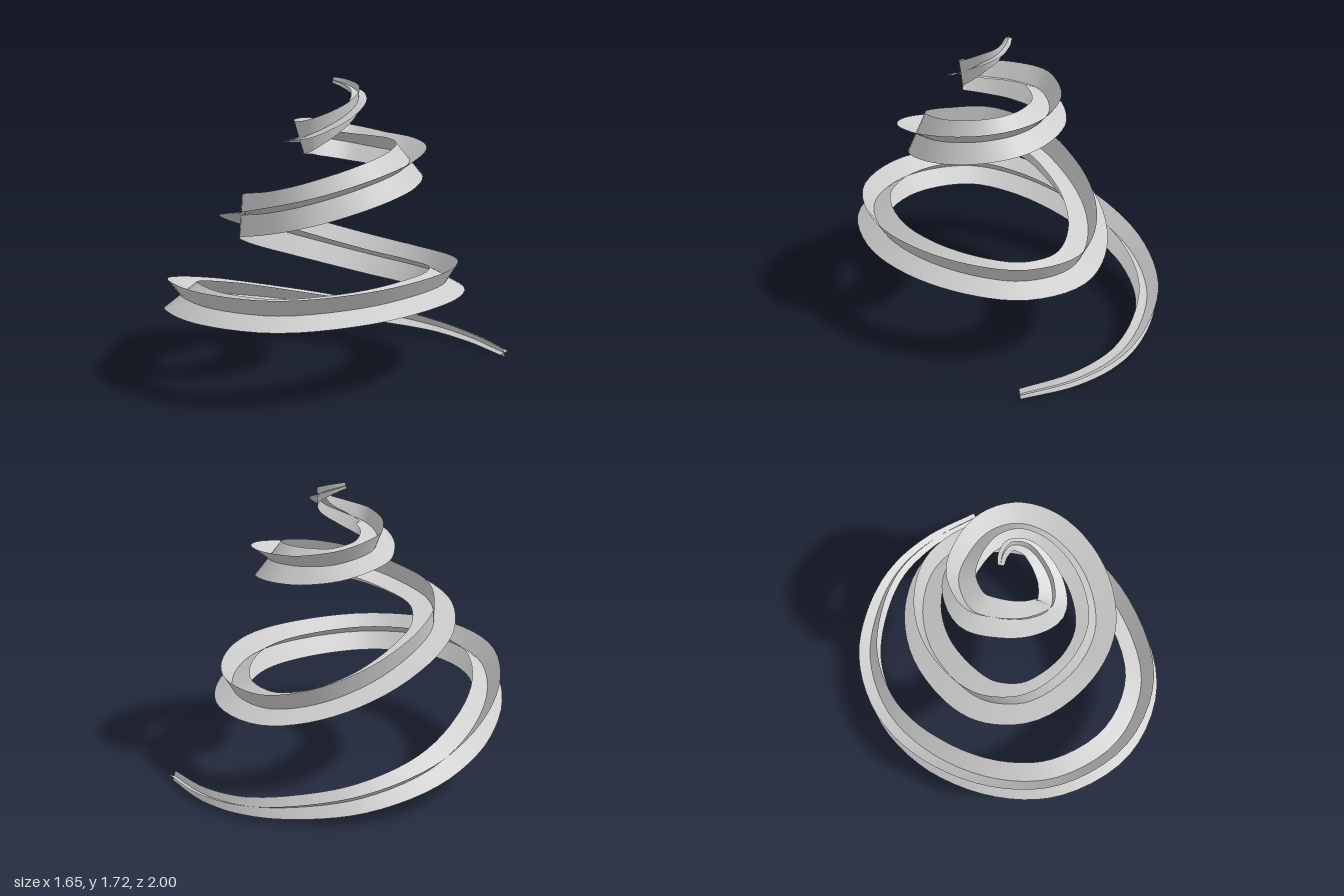
import * as THREE from 'three';

// Centreline of the spiral, from the low outer end up to the top tip
const PATH = [
  [0.805, 0.033, -0.76], [0.5, 0.038, -0.905], [0.2, 0.057, -0.957], [-0.1, 0.09, -0.9],
  [-0.42, 0.143, -0.73], [-0.665, 0.225, -0.4], [-0.745, 0.325, 0], [-0.675, 0.43, 0.42],
  [-0.48, 0.5, 0.72], [-0.1, 0.522, 0.895], [0.3, 0.525, 0.81], [0.6, 0.54, 0.45],
  [0.715, 0.555, 0.05], [0.66, 0.543, -0.3], [0.5, 0.525, -0.54], [0.22, 0.523, -0.642],
  [-0.05, 0.57, -0.555], [-0.28, 0.665, -0.33], [-0.41, 0.79, 0], [-0.41, 0.865, 0.2],
  [-0.29, 0.94, 0.4], [0, 1.007, 0.513], [0.25, 1.075, 0.475], [0.45, 1.155, 0.27],
  [0.525, 1.22, 0], [0.47, 1.26, -0.2], [0.33, 1.278, -0.31], [0.15, 1.288, -0.33],
  [-0.03, 1.312, -0.28], [-0.15, 1.353, -0.11], [-0.12, 1.375, 0.04], [-0.03, 1.392, 0.19],
  [0.08, 1.42, 0.262], [0.18, 1.475, 0.2], [0.24, 1.545, 0.08], [0.24, 1.605, -0.01],
  [0.19, 1.65, -0.07], [0.11, 1.685, -0.07], [0.04, 1.708, -0.04],
];

// [path point, half width of the strips, roll in degrees]
const KEYS = [
  [0, 0.03, 18], [2, 0.05, 25], [4, 0.085, 38], [6, 0.118, 47], [9, 0.122, 56],
  [12, 0.122, 58], [15, 0.122, 60], [18, 0.13, 77], [21, 0.123, 106], [24, 0.127, 125],
  [27, 0.12, 135], [29, 0.118, 155], [32, 0.09, 170], [34, 0.06, 175], [38, 0.018, 180],
];

function keyed(index, column) {
  let i = 1;
  while (i < KEYS.length - 1 && KEYS[i][0] < index) i++;
  const a = KEYS[i - 1], b = KEYS[i];
  return THREE.MathUtils.mapLinear(index, a[0], b[0], a[column], b[column]);
}

// One flat strip that follows the path, rolled about it by an extra angle
function stripGeometry(curve, extraRoll, segments = 190) {
  const up = new THREE.Vector3(0, 1, 0);
  const positions = [], indices = [];
  for (let i = 0; i <= segments; i++) {
    const t = i / segments;
    const index = t * (PATH.length - 1);
    const centre = curve.getPoint(t);
    const tangent = curve.getTangent(t);
    const out = new THREE.Vector3().crossVectors(tangent, up).normalize();
    const rise = new THREE.Vector3().crossVectors(out, tangent);
    const roll = THREE.MathUtils.degToRad(keyed(index, 2)) + extraRoll;
    const arm = out.multiplyScalar(Math.cos(roll)).addScaledVector(rise, Math.sin(roll));
    for (const side of [-1, 0, 1]) {
      const p = centre.clone().addScaledVector(arm, side * keyed(index, 1));
      positions.push(p.x, p.y, p.z);
    }
    if (i === segments) continue;
    for (let j = 0; j < 2; j++) {
      const a = i * 3 + j, b = a + 3;
      indices.push(a, b, a + 1, b, b + 1, a + 1);
    }
  }
  const geometry = new THREE.BufferGeometry();
  geometry.setAttribute('position', new THREE.Float32BufferAttribute(positions, 3));
  geometry.setIndex(indices);
  geometry.computeVertexNormals();
  return geometry;
}

export function createModel() {
  const group = new THREE.Group();
  group.name = 'spiralTree';
  const lightGrey = new THREE.MeshStandardMaterial({ color: 0xcccccc, side: THREE.DoubleSide });
  lightGrey.name = 'light grey';

  const curve = new THREE.CatmullRomCurve3(PATH.map((p) => new THREE.Vector3(...p)));

  // Two strips crossing at right angles give the X-shaped section
  ['firstStrip', 'crossingStrip'].forEach((name, k) => {
    const strip = new THREE.Mesh(stripGeometry(curve, k * Math.PI / 2), lightGrey);
    strip.name = name;
    group.add(strip);
  });
  return group;
}
